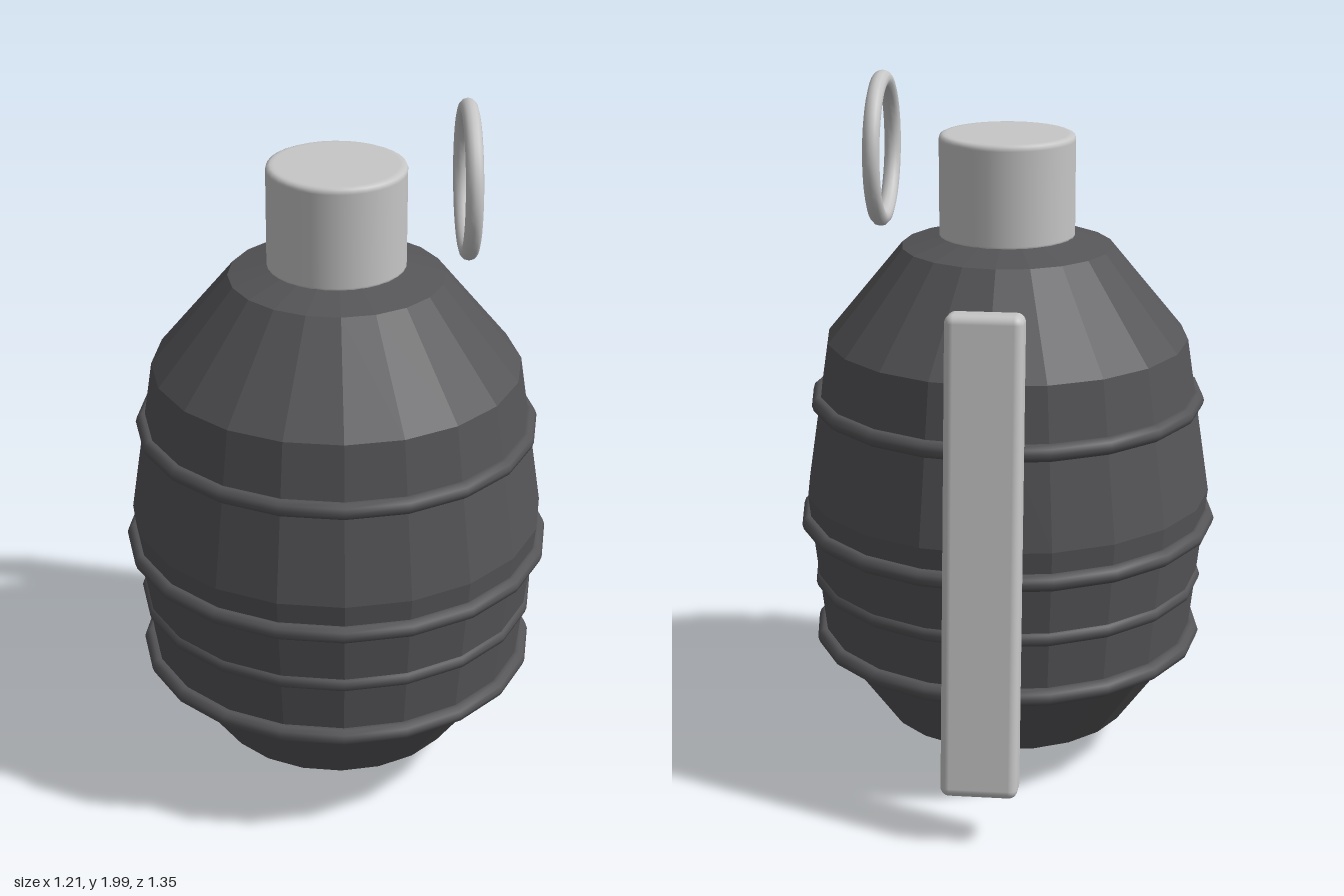
import * as THREE from 'three';
import { RoundedBoxGeometry } from 'three/addons/geometries/RoundedBoxGeometry.js';

const SIDES = 20;

export function createModel() {
  const model = new THREE.Group();
  const shell = new THREE.MeshStandardMaterial({ color: 0x555457, flatShading: true });
  shell.name = 'dark shell';
  const band = new THREE.MeshStandardMaterial({ color: 0x555457 });
  band.name = 'dark band';
  const metal = new THREE.MeshStandardMaterial({ color: 0xc6c6c6 });
  metal.name = 'light metal';

  const add = (name, geometry, material, x, y, z) => {
    const mesh = new THREE.Mesh(geometry, material);
    mesh.name = name;
    mesh.position.set(x, y, z);
    model.add(mesh);
    return mesh;
  };
  const lathe = (points, sides) =>
    new THREE.LatheGeometry(points.map(([r, y]) => new THREE.Vector2(r, y)), sides);

  const axisZ = 0.073; // the body sits forward of the lever

  // Faceted egg-shaped body
  add('body', lathe([
    [0, 0.01], [0.355, 0.112], [0.535, 0.36], [0.585, 0.8],
    [0.517, 1.25], [0.3, 1.515], [0, 1.6],
  ], SIDES), shell, 0, 0, axisZ);

  // Raised bands around the body
  for (const [y, radius] of [[0.36, 0.542], [0.537, 0.542], [0.714, 0.579], [1.071, 0.542]]) {
    const ring = add('band', new THREE.TorusGeometry(radius, 0.025, 10, SIDES), band, 0, y, axisZ);
    ring.rotation.x = Math.PI / 2;
  }

  // Fuse cap with a softened rim
  add('fuseCap', lathe([
    [0, 1.54], [0.192, 1.54], [0.192, 1.55], [0.192, 1.815], [0.192, 1.82],
    [0.189, 1.828], [0.18, 1.832], [0.17, 1.832], [0, 1.832],
  ], 32), metal, 0, 0, axisZ);

  // Pull ring standing beside the cap
  const pullRing = add('pullRing', new THREE.TorusGeometry(0.194, 0.024, 12, 40), metal, 0.354, 1.782, axisZ);
  pullRing.rotation.y = Math.PI / 2;

  // Slanted safety lever at the back
  const lever = add('lever', new RoundedBoxGeometry(0.21, 1.32, 0.1, 4, 0.025), metal, 0, 0.803, -0.548);
  lever.rotation.x = 0.118;

  return model;
}
